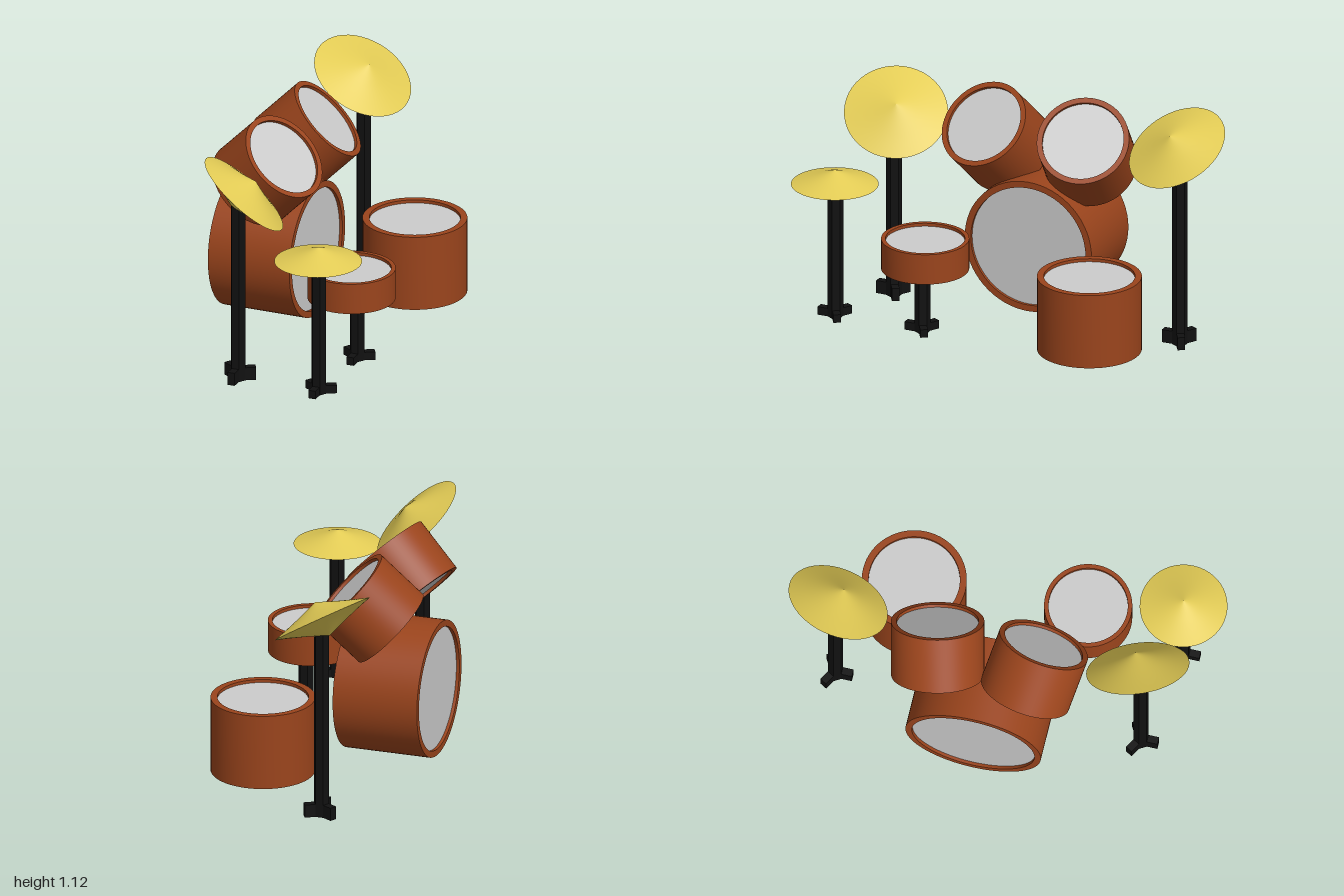
import * as THREE from 'three';
import { toCreasedNormals } from 'three/addons/utils/BufferGeometryUtils.js';

const mat = (color, extra = {}) => new THREE.MeshStandardMaterial({ color, ...extra });
const UP = new THREE.Vector3(0, 1, 0);

export function createModel() {
  const model = new THREE.Group();
  const wood = mat(0x9a441c);
  const skin = mat(0xcccccc);
  const brass = mat(0xe3cc55);
  const black = mat(0x111111, { flatShading: true });

  const add = (parent, name, geometry, material) => {
    const mesh = new THREE.Mesh(geometry, material);
    mesh.name = name;
    parent.add(mesh);
    return mesh;
  };

  // Group placed at a point with its local y along the given direction
  const place = (name, position, direction) => {
    const group = new THREE.Group();
    group.name = name;
    group.position.set(...position);
    group.quaternion.setFromUnitVectors(UP, new THREE.Vector3(...direction).normalize());
    model.add(group);
    return group;
  };

  // Wooden shell with a rim at both ends and recessed skins
  const drum = (name, center, axis, radius, length, inner = 0.88) => {
    const group = place(name, center, axis);
    const h = length / 2, ri = radius * inner, recess = 0.015;
    const profile = [
      [ri, -h + recess], [ri, -h], [radius, -h],
      [radius, h], [ri, h], [ri, h - recess],
    ].map(([x, y]) => new THREE.Vector2(x, y));
    add(group, 'shell', toCreasedNormals(new THREE.LatheGeometry(profile, 64), 0.6), wood);
    for (const side of [1, -1]) {
      const head = add(group, side > 0 ? 'topSkin' : 'bottomSkin', new THREE.CircleGeometry(ri, 64), skin);
      head.rotation.x = -side * Math.PI / 2;
      head.position.y = side * (h - recess);
    }
  };

  // Cymbal: two shallow cones meeting at a sharp edge
  const cymbal = (name, center, axis, radius, height) => {
    const group = place(name, center, axis);
    const cone = [[radius, 0], [radius * 0.75, height * 0.22], [radius * 0.4, height * 0.56], [0, height]];
    const top = cone.map(([x, y]) => new THREE.Vector2(x, y));
    const bottom = cone.map(([x, y]) => new THREE.Vector2(x, -y)).reverse();
    add(group, 'upperFace', new THREE.LatheGeometry(top, 48), brass);
    add(group, 'lowerFace', new THREE.LatheGeometry(bottom, 48), brass);
  };

  // Stand: six-sided pole on a short three-legged foot
  const stand = (name, x, z, bottom, top, footHeight) => {
    const group = place(name, [x, 0, z], [0, 1, 0]);
    const pole = add(group, 'pole', new THREE.CylinderGeometry(0.037, 0.037, top - bottom, 6), black);
    pole.position.y = (top + bottom) / 2;
    pole.rotation.y = Math.PI / 6;
    for (let i = 0; i < 3; i++) {
      const geometry = new THREE.BoxGeometry(0.036, footHeight, 0.083);
      geometry.translate(0, bottom + footHeight / 2, 0.0415);
      add(group, 'leg', geometry, black).rotation.y = i * Math.PI * 2 / 3;
    }
  };

  // Drums
  drum('bassDrum', [-0.288, 0.395, -0.035], [1, 0, 0], 0.325, 0.415, 0.905);
  drum('floorTom', [0.22, 0.252, -0.486], [0, 1, 0], 0.245, 0.366, 0.87);
  drum('snareDrum', [0.258, 0.425, 0.339], [0, 1, 0], 0.206, 0.15, 0.9);
  for (const side of [1, -1]) {
    drum(side > 0 ? 'leftRackTom' : 'rightRackTom',
      [-0.233, 0.855, -0.035 + side * 0.232], [0.19, 0.19, side * 0.045], 0.218, 0.272);
  }

  // Cymbals
  cymbal('frontCrash', [-0.145, 0.93, 0.672], [0.597, 0.753, -0.27], 0.243, 0.085);
  cymbal('backCrash', [-0.166, 0.983, -0.76], [0.505, 0.837, 0.21], 0.2445, 0.085);
  cymbal('flatCymbal', [0.285, 0.708, 0.79], [0, 1, 0], 0.205, 0.071);

  // Stands
  stand('frontCrashStand', -0.166, 0.692, 0, 0.91, 0.063);
  stand('backCrashStand', -0.166, -0.773, 0, 0.96, 0.063);
  stand('flatCymbalStand', 0.287, 0.786, 0.043, 0.69, 0.04);
  stand('snareStand', 0.287, 0.34, 0.043, 0.38, 0.04);

  return model;
}
